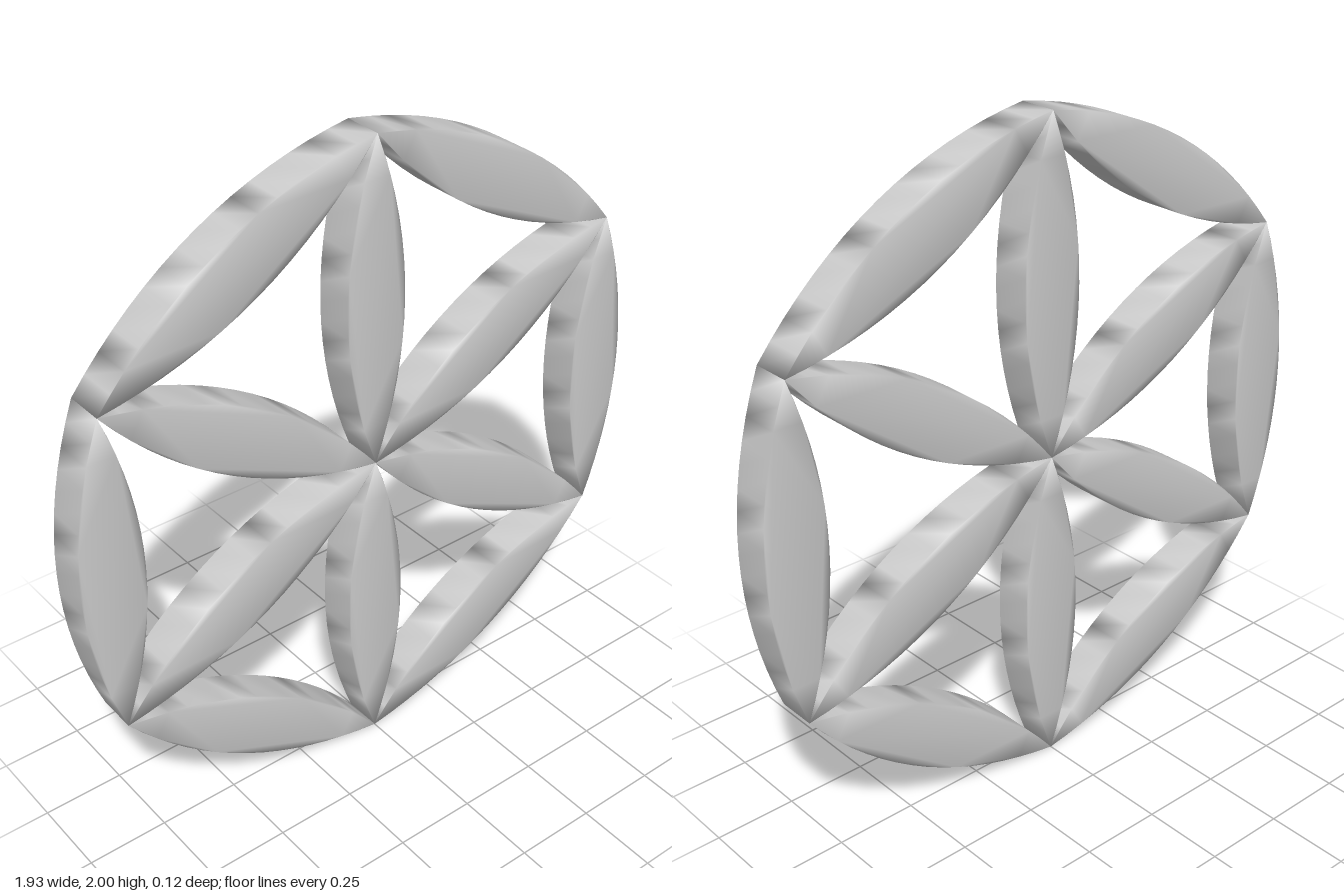
import * as THREE from 'three';
import { mergeVertices } from 'three/addons/utils/BufferGeometryUtils.js';

const LENGTH = 1, HALF_WIDTH = 0.098, DEPTH = 0.12;

// Lens-shaped slab running from the origin along +y, softly shaded over its rim
function petalGeometry() {
  const shape = new THREE.Shape();
  shape.moveTo(0, 0);
  shape.quadraticCurveTo(2 * HALF_WIDTH, LENGTH / 2, 0, LENGTH);
  shape.quadraticCurveTo(-2 * HALF_WIDTH, LENGTH / 2, 0, 0);
  const slab = new THREE.ExtrudeGeometry(shape, { depth: DEPTH, bevelEnabled: false, curveSegments: 16 });
  slab.translate(0, 0, -DEPTH / 2);
  slab.deleteAttribute('normal');
  slab.deleteAttribute('uv');
  const smooth = mergeVertices(slab, 1e-4);
  smooth.computeVertexNormals();
  return smooth;
}

export function createModel() {
  const model = new THREE.Group();
  model.name = 'sixPetalRosette';
  const geometry = petalGeometry();
  const material = new THREE.MeshStandardMaterial({ color: 0xcccccc });

  function addPetal(name, x, y, angle) {
    const petal = new THREE.Mesh(geometry, material);
    petal.name = name;
    petal.position.set(x, y, 0);
    petal.rotation.z = angle;
    model.add(petal);
  }

  for (let i = 0; i < 6; i++) {
    const a = (i * Math.PI) / 3;
    // Petal from the centre outwards
    addPetal(`innerPetal${i + 1}`, 0, 1, a);
    // Petal joining this outer tip to the next one
    addPetal(`rimPetal${i + 1}`, -Math.sin(a), 1 + Math.cos(a), a + (2 * Math.PI) / 3);
  }
  return model;
}
